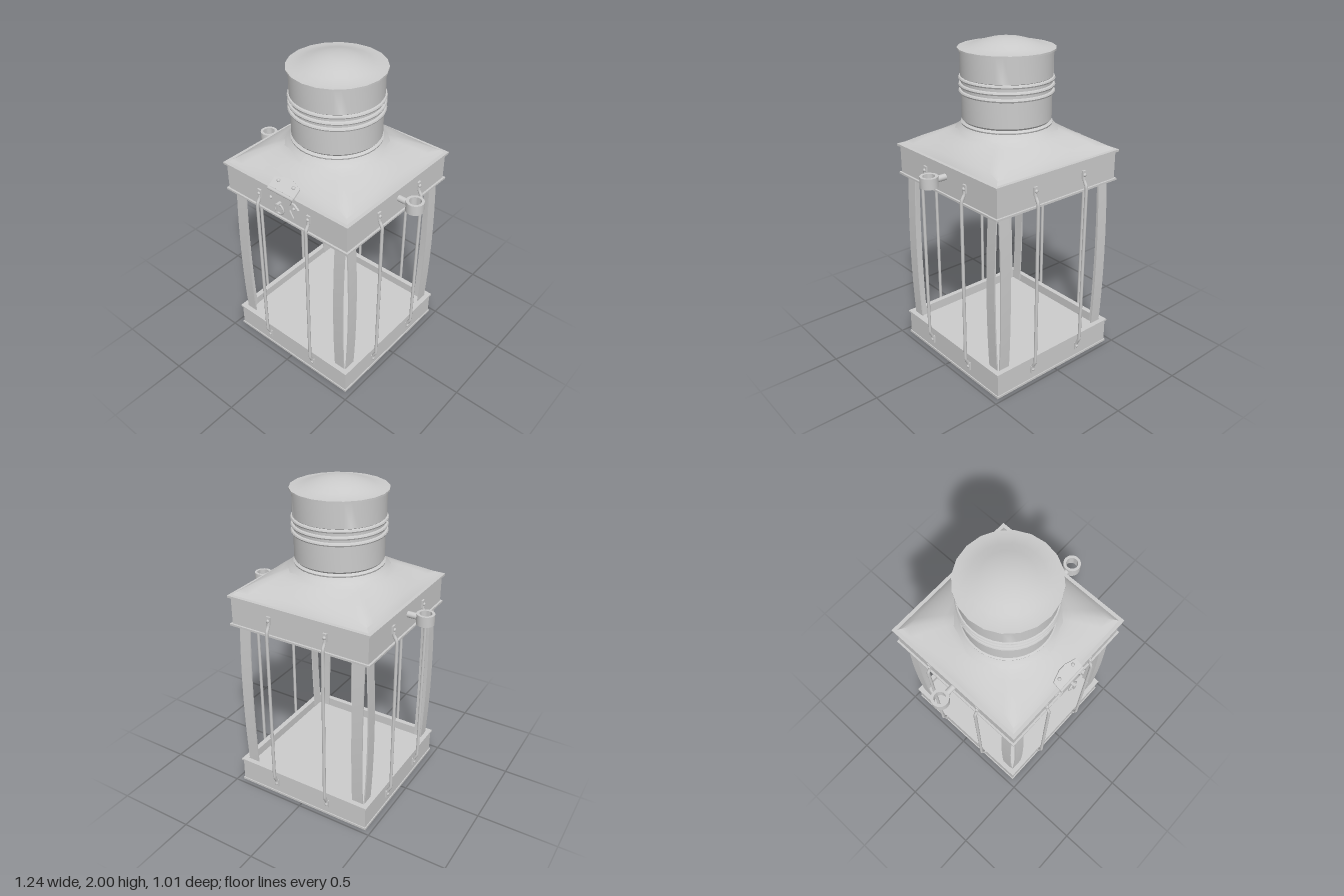
import * as THREE from 'three';
import { toCreasedNormals } from 'three/addons/utils/BufferGeometryUtils.js';

const metal = new THREE.MeshStandardMaterial({ color: 0xcccccc });
const sheet = new THREE.MeshStandardMaterial({ color: 0xcccccc, side: THREE.DoubleSide });

function add(parent, name, geometry, x = 0, y = 0, z = 0, material = metal) {
  const mesh = new THREE.Mesh(geometry, material);
  mesh.name = name;
  mesh.position.set(x, y, z);
  parent.add(mesh);
  return mesh;
}

function polygon(points) {
  return new THREE.Shape(points.map(([x, y]) => new THREE.Vector2(x, y)));
}

const square = h => [[-h, -h], [h, -h], [h, h], [-h, h]];

// Hollow square band lying flat, rising from y = 0
function frame(outer, inner, height) {
  const shape = polygon(square(outer));
  shape.holes.push(polygon(square(inner)));
  return new THREE.ExtrudeGeometry(shape, { depth: height, bevelEnabled: false }).rotateX(-Math.PI / 2);
}

function lathe(points, segments, crease = 0.6) {
  const profile = points.map(([r, y]) => new THREE.Vector2(r, y));
  return toCreasedNormals(new THREE.LatheGeometry(profile, segments), crease);
}

// Square at the eaves, blending to round at the neck
function roofGeometry() {
  const rows = [ // half width, height, squareness
    [0.452, 1.345, 1], [0.438, 1.365, 0.93], [0.42, 1.382, 0.84], [0.39, 1.408, 0.7],
    [0.355, 1.431, 0.54], [0.318, 1.454, 0.35], [0.283, 1.475, 0.15], [0.262, 1.505, 0],
  ];
  const geo = new THREE.LatheGeometry(rows.map(([r, y]) => new THREE.Vector2(r, y)), 64);
  const pos = geo.attributes.position;
  for (let i = 0; i < pos.count; i++) {
    const [r, , sq] = rows[i % rows.length];
    const x = pos.getX(i), z = pos.getZ(i);
    const k = 1 + sq * (r / Math.max(Math.abs(x), Math.abs(z)) - 1);
    pos.setX(i, x * k);
    pos.setZ(i, z * k);
  }
  return toCreasedNormals(geo, 0.7);
}

// Wavy skirt covering the joint of chimney and roof
function skirtGeometry() {
  const geo = new THREE.LatheGeometry(
    [[0.302, 1.474], [0.285, 1.488], [0.268, 1.505], [0.262, 1.515]].map(([r, y]) => new THREE.Vector2(r, y)), 64);
  const pos = geo.attributes.position;
  for (let i = 0; i < pos.count; i += 4) {
    const x = pos.getX(i), z = pos.getZ(i);
    const wave = Math.max(-0.7, Math.min(0.7, Math.cos(8 * Math.atan2(x, z))));
    const k = 1 + 0.035 * wave;
    pos.setXYZ(i, x * k, pos.getY(i) - 0.009 * wave, z * k);
  }
  geo.computeVertexNormals();
  return geo;
}

// Corner strip, bowed outwards at mid height
function stripGeometry() {
  const h = 1.06;
  const geo = new THREE.BoxGeometry(0.072, h, 0.008, 1, 8, 1);
  const pos = geo.attributes.position;
  for (let i = 0; i < pos.count; i++) {
    pos.setZ(i, pos.getZ(i) + 0.018 * (1 - (2 * pos.getY(i) / h) ** 2));
  }
  geo.computeVertexNormals();
  return geo;
}

function rodGeometry() {
  const path = new THREE.CatmullRomCurve3([
    [1.25, 0.463], [1.225, 0.465], [1.19, 0.484], [1.16, 0.487], [0.66, 0.487],
    [0.17, 0.487], [0.14, 0.484], [0.105, 0.465], [0.08, 0.463],
  ].map(([y, z]) => new THREE.Vector3(0, y, z)), false, 'catmullrom', 0.2);
  return new THREE.TubeGeometry(path, 60, 0.01, 8);
}

function addSide(body, k) {
  const side = new THREE.Group();
  side.name = 'lanternSide';
  side.rotation.y = k * Math.PI / 2;
  body.add(side);
  for (const s of [-1, 1]) {
    add(side, 'cornerStrip', stripGeometry(), s * 0.387, 0.65, 0.427);
    add(side, 'guardRod', rodGeometry(), s * 0.188, 0, 0);
    for (const y of [0.085, 1.255]) {
      add(side, 'rodFoot', new THREE.BoxGeometry(0.026, 0.05, 0.012), s * 0.188, y, 0.462);
      const rivet = add(side, 'rodRivet', new THREE.SphereGeometry(0.011, 10, 8), s * 0.188, y, 0.47);
      rivet.scale.z = 0.7;
    }
  }
}

function addLug(body, s) {
  const lug = new THREE.Group();
  lug.name = 'sideLug';
  lug.position.set(s * 0.567, 1.268, 0);
  body.add(lug);
  add(lug, 'lugRing', lathe([[0.036, -0.032], [0.053, -0.032], [0.053, 0.032], [0.036, 0.032], [0.036, -0.032]], 24));
  const stem = add(lug, 'lugStem', new THREE.CylinderGeometry(0.019, 0.019, 0.07, 16), -s * 0.078);
  stem.rotation.z = Math.PI / 2;
}

function addLatch(body) {
  const latch = new THREE.Group();
  latch.name = 'latch';
  latch.position.z = 0.458;
  body.add(latch);
  const plate = (points, depth) =>
    new THREE.ExtrudeGeometry(polygon(points), { depth, bevelEnabled: false });

  // Leaf riveted to the roof slope
  const leaf = new THREE.Group();
  leaf.name = 'roofLeaf';
  leaf.position.set(0, 1.352, 0.012);
  leaf.rotation.x = -0.97;
  latch.add(leaf);
  add(leaf, 'hingeLeaf', plate([[-0.095, 0], [0.095, 0], [0.095, 0.06], [0.025, 0.085], [-0.025, 0.085], [-0.095, 0.06]], 0.008));
  for (const s of [-1, 1]) add(leaf, 'leafRivet', new THREE.SphereGeometry(0.011, 10, 8), s * 0.057, 0.05, 0.009);

  const pin = add(latch, 'hingePin', new THREE.CylinderGeometry(0.011, 0.011, 0.19, 12), 0, 1.348, 0.02);
  pin.rotation.z = Math.PI / 2;
  add(latch, 'hasp', plate([[-0.09, 1.345], [0.09, 1.345], [0.065, 1.295], [0.065, 1.265],
    [0.092, 1.222], [-0.092, 1.222], [-0.065, 1.265], [-0.065, 1.295]], 0.008), 0, 0, 0.016);
  add(latch, 'backPlate', plate([[-0.118, 1.28], [-0.085, 1.252], [0.085, 1.252], [0.118, 1.28],
    [0.085, 1.308], [-0.085, 1.308]], 0.012));
  for (const s of [-1, 1]) add(latch, 'plateRivet', new THREE.SphereGeometry(0.01, 10, 8), s * 0.088, 1.28, 0.013);

  // Turning staple with its ring
  add(latch, 'staple', new THREE.BoxGeometry(0.016, 0.05, 0.05), 0, 1.27, 0.03);
  add(latch, 'pullRing', new THREE.TorusGeometry(0.031, 0.006, 8, 24), 0, 1.252, 0.037);
}

export function createModel() {
  const model = new THREE.Group();
  model.name = 'lantern';
  const body = new THREE.Group();
  body.name = 'lanternBody';
  body.position.z = -0.01;
  model.add(body);

  // Base tray
  add(body, 'baseWall', frame(0.457, 0.44, 0.16));
  add(body, 'baseFloor', new THREE.BoxGeometry(0.9, 0.1, 0.9), 0, 0.052, 0);
  add(body, 'baseBottomLip', frame(0.463, 0.44, 0.014));
  add(body, 'baseTopLip', frame(0.465, 0.432, 0.012), 0, 0.156, 0);

  // Upper band and ceiling
  add(body, 'upperWall', frame(0.457, 0.44, 0.18), 0, 1.16, 0);
  add(body, 'upperBottomLip', frame(0.469, 0.432, 0.012), 0, 1.153, 0);
  add(body, 'upperTopLip', frame(0.472, 0.445, 0.013), 0, 1.334, 0);
  add(body, 'ceiling', new THREE.BoxGeometry(0.89, 0.012, 0.89), 0, 1.178, 0);

  // Roof and chimney
  add(body, 'roof', roofGeometry(), 0, 0, 0, sheet);
  add(body, 'chimneySkirt', skirtGeometry(), 0, 0, 0, sheet);
  const tube = [[0.255, 1.49], [0.268, 1.505], [0.27, 1.514], [0.255, 1.524], [0.264, 1.535], [0.264, 1.685]];
  for (const y of [1.697, 1.735, 1.773]) {
    for (const [dr, dy] of [[0, -0.011], [0.011, -0.008], [0.015, 0], [0.011, 0.008], [0, 0.011]]) {
      tube.push([0.265 + dr, y + dy]);
    }
  }
  tube.push([0.269, 1.787], [0.269, 1.94]);
  add(body, 'chimney', lathe(tube, 40), 0, 0, 0, sheet);
  add(body, 'chimneyCap', lathe([[0, 1.934], [0.284, 1.934], [0.284, 1.944], [0.25, 1.946], [0.2, 1.958],
    [0.15, 1.976], [0.1, 1.99], [0.05, 1.998], [0, 2.0]], 20));

  for (let k = 0; k < 4; k++) addSide(body, k);
  for (const s of [-1, 1]) addLug(body, s);
  addLatch(body);
  return model;
}
